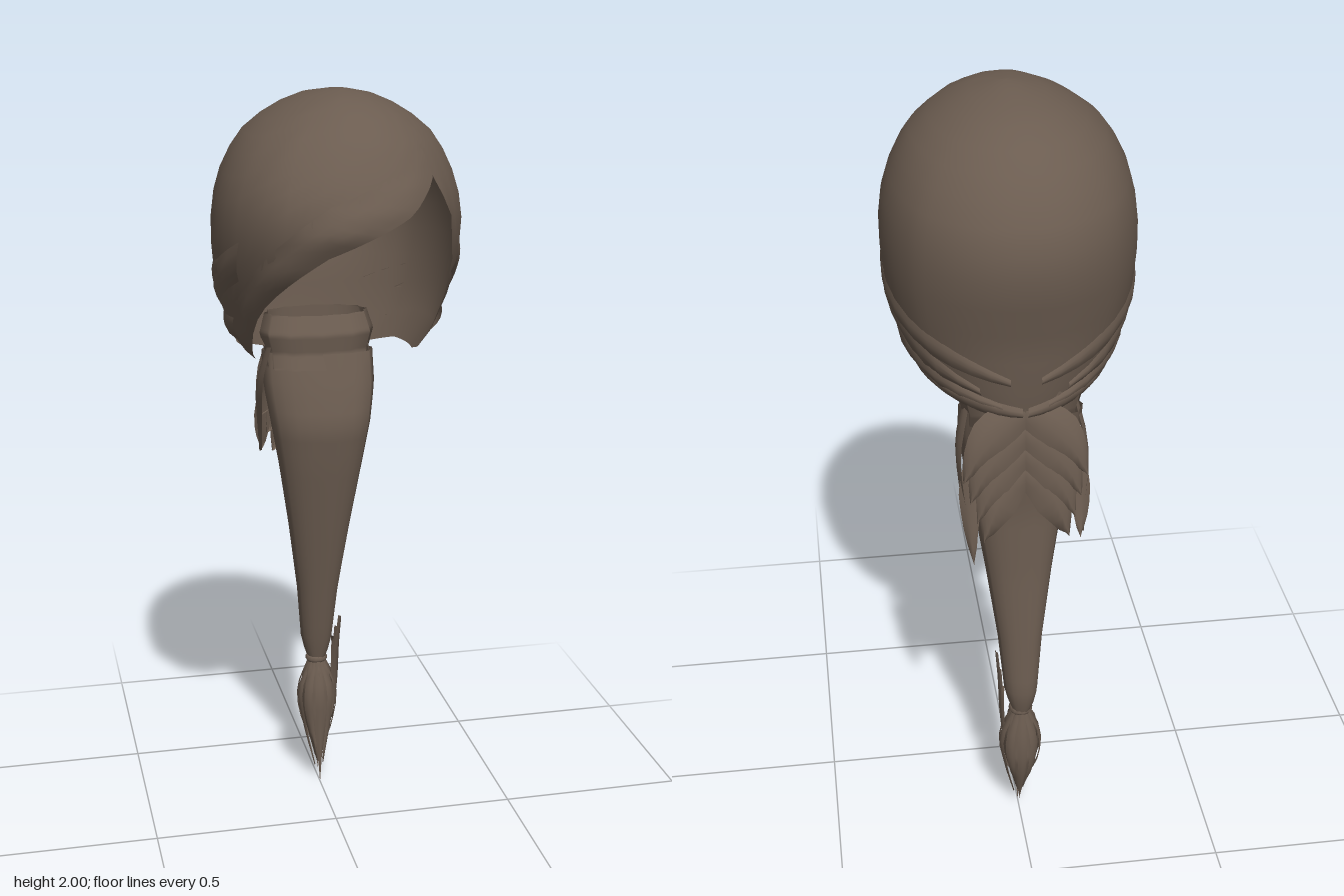
import * as THREE from 'three';
import { mergeVertices } from 'three/addons/utils/BufferGeometryUtils.js';

const hair = new THREE.MeshStandardMaterial({ color: 0x6b5c50, side: THREE.DoubleSide });
hair.name = 'brown hair';

// Linear lookup in rows sorted by their first value; returns the other columns.
function lookup(rows, k) {
  let i = 1;
  while (i < rows.length - 1 && rows[i][0] < k) i++;
  const a = rows[i - 1], b = rows[i];
  const f = THREE.MathUtils.clamp((k - a[0]) / (b[0] - a[0]), 0, 1);
  return a.slice(1).map((v, j) => v + (b[j + 1] - v) * f);
}

// Sine or cosine pushed towards a squarer outline
const square = (v) => Math.sign(v) * Math.pow(Math.abs(v), 0.88);

// Surface from a grid of points: point(u, v) with u, v in 0..1.
function surface(name, nu, nv, point) {
  const pos = [], idx = [];
  for (let j = 0; j <= nv; j++)
    for (let i = 0; i <= nu; i++) pos.push(...point(i / nu, j / nv));
  for (let j = 0; j < nv; j++)
    for (let i = 0; i < nu; i++) {
      const a = j * (nu + 1) + i, b = a + nu + 1;
      idx.push(a, b, a + 1, a + 1, b, b + 1);
    }
  let g = new THREE.BufferGeometry();
  g.setAttribute('position', new THREE.Float32BufferAttribute(pos, 3));
  g.setIndex(idx);
  g = mergeVertices(g, 1e-4);
  g.computeVertexNormals();
  const mesh = new THREE.Mesh(g, hair);
  mesh.name = name;
  return mesh;
}

// Head sections: height, front z, back z, half width
const HEAD = [
  [1.28, 0.05, -0.315, 0.14], [1.35, 0.205, -0.33, 0.22], [1.4, 0.225, -0.335, 0.255],
  [1.5, 0.27, -0.342, 0.29], [1.6, 0.34, -0.37, 0.304], [1.7, 0.378, -0.383, 0.304],
  [1.75, 0.372, -0.375, 0.296], [1.8, 0.352, -0.355, 0.282], [1.86, 0.313, -0.318, 0.254],
  [1.9, 0.28, -0.285, 0.226], [1.95, 0.215, -0.22, 0.165], [1.98, 0.15, -0.14, 0.1],
  [1.992, 0.1, -0.07, 0.06], [2.0, 0.02, 0.02, 0],
];
// Hairline: angle from the front in degrees (+ is the left side), height
const RIM = [
  [-180, 1.29], [-130, 1.3], [-110, 1.33], [-70, 1.34], [-60, 1.385], [-50, 1.47],
  [-40, 1.54], [-30, 1.6], [-18, 1.655], [0, 1.7], [20, 1.745], [32, 1.79], [40, 1.82],
  [50, 1.72], [57, 1.56], [65, 1.4], [71, 1.34], [110, 1.33], [130, 1.3], [180, 1.29],
];
// Uneven fullness of the hair around the head: angle, outward offset
const FULLNESS = [
  [-180, 0], [-135, 0.008], [-95, 0.003], [-60, 0.022], [-40, 0.027], [-18, 0.012],
  [0, 0], [45, -0.006], [80, 0], [130, 0.014], [180, 0],
];

// Point on the head at an angle and height, pushed out by some distance
function onHead(deg, y, out = 0) {
  const [zf, zb, w] = lookup(HEAD, y);
  const p = deg * Math.PI / 180;
  const o = out + lookup(FULLNESS, deg)[0] * THREE.MathUtils.clamp((1.97 - y) / 0.17, 0, 1);
  return [(w + o) * Math.sin(p), y, (zf + zb) / 2 + ((zf - zb) / 2 + o) * Math.cos(p)];
}

// Lofted strand bundle from rows of [y, front z, back z, half width]
function bundle(name, rows, sides, ripple, shear = 0) {
  const lo = rows[0][0], hi = rows[rows.length - 1][0];
  return surface(name, sides, 24, (u, v) => {
    const y = hi + (lo - hi) * v, [zf, zb, w] = lookup(rows, y);
    const a = u * Math.PI * 2, r = 1 - ripple * (Math.round(u * sides) % 2);
    const x = w * r * square(Math.sin(a));
    return [x, y, (zf + zb) / 2 + (zf - zb) / 2 * r * square(Math.cos(a)) + x * shear];
  });
}

// Leaf-shaped lock along a path, raised along its middle
function lock(name, pts, width, across, lift) {
  const curve = new THREE.CatmullRomCurve3(pts.map((p) => new THREE.Vector3(...p)));
  const side = new THREE.Vector3(...across).normalize();
  const up = new THREE.Vector3(...lift);
  return surface(name, 4, 8, (u, v) => {
    const s = u * 2 - 1;
    const w = width * (v < 0.45 ? 0.6 + 0.4 * v / 0.45 : Math.pow((1 - v) / 0.55, 0.7));
    const p = curve.getPoint(v).addScaledVector(side, s * w).addScaledVector(up, 1 - s * s);
    return p.toArray();
  });
}

// Lock lying on the head, from rows of [angle, height, half width]
function headLock(name, rows, out) {
  const keyed = rows.map((r, i) => [i / (rows.length - 1), ...r]);
  return surface(name, 4, 10, (u, v) => {
    const [deg, y, w] = lookup(keyed, v), s = u * 2 - 1;
    return onHead(deg, y + s * w, 0.001 + out * (1 - s * s));
  });
}

export function createModel() {
  const model = new THREE.Group();
  model.name = 'ponytailHair';

  // Cap, open at the face
  model.add(surface('hairCap', 72, 14, (u, v) => {
    const deg = u * 360 - 180, [rim] = lookup(RIM, deg);
    return onHead(deg, rim + (2 - rim) * Math.cos(v * Math.PI / 2));
  }));

  // Swept fringe layer over the brow
  model.add(surface('sweptFringe', 24, 6, (u, v) => {
    const deg = -85 + 125 * u, [rim] = lookup(RIM, deg);
    const thick = 0.007 * Math.sin(Math.PI * u) * Math.sin(Math.PI * Math.min(v + 0.15, 1));
    return onHead(deg, rim - 0.005 + v * (0.15 - 0.06 * u), thick);
  }));

  // Locks on the sides, swept back to the tie
  const sideLocks = new THREE.Group();
  sideLocks.name = 'sideLocks';
  for (const s of [-1, 1]) {
    sideLocks.add(
      headLock('templeLock', [[s * 58, 1.62, 0.05], [s * 85, 1.53, 0.05], [s * 120, 1.44, 0.04], [s * 155, 1.37, 0.01]], 0.006),
      headLock('earLock', [[s * 68, 1.43, 0.03], [s * 92, 1.41, 0.04], [s * 125, 1.37, 0.035], [s * 165, 1.33, 0.01]], 0.01),
      headLock('napeLock', [[s * 95, 1.36, 0.015], [s * 120, 1.35, 0.03], [s * 150, 1.33, 0.03], [s * 178, 1.31, 0.015]], 0.012),
      headLock('upperLock', [[s * 75, 1.58, 0.03], [s * 105, 1.52, 0.035], [s * 140, 1.46, 0.03], [s * 172, 1.4, 0.01]], 0.006),
    );
  }
  model.add(sideLocks);

  // Gathered root under the nape
  model.add(bundle('gatheredRoot', [
    [1.25, -0.155, -0.3, 0.142], [1.29, -0.17, -0.32, 0.142], [1.34, -0.165, -0.325, 0.155], [1.39, -0.19, -0.325, 0.14],
  ], 24, 0.08));

  // Long tapering tail, fuller in front on its left
  model.add(bundle('ponytail', [
    [0.37, -0.245, -0.295, 0.022], [0.43, -0.23, -0.312, 0.042], [0.6, -0.2, -0.297, 0.057],
    [0.8, -0.164, -0.278, 0.084], [0.98, -0.132, -0.268, 0.112], [1.1, -0.115, -0.275, 0.133],
    [1.2, -0.14, -0.295, 0.148], [1.29, -0.17, -0.315, 0.148],
  ], 24, 0.04, 0.12));

  // Overlapping locks hanging behind the tail, in a herringbone
  const backLocks = new THREE.Group();
  backLocks.name = 'backLocks';
  for (let i = 0; i < 4; i++) {
    for (const s of [-1, 1]) {
      const y = 1.33 - i * 0.055, z = -i * 0.004;
      backLocks.add(lock('backLock', [
        [s * -0.02, y, -0.3 + z], [s * 0.05, y - 0.05, -0.322 + z],
        [s * (0.11 - i * 0.01), y - 0.11, -0.335 + z], [s * (0.15 - i * 0.015), y - 0.19, -0.335 + z],
      ], 0.06, [s * 0.7, 0.7, 0.1], [0, 0, -0.015]));
    }
  }
  for (const s of [-1, 1]) {
    backLocks.add(
      lock('looseLock', [[s * 0.09, 1.27, -0.29], [s * 0.125, 1.15, -0.32], [s * 0.135, 1.04, -0.342], [s * 0.13, s > 0 ? 0.92 : 0.98, -0.365]],
        0.032, [1, 0, s * 0.4], [0, 0, -0.01]),
      lock('sideLock', [[s * 0.13, 1.3, -0.24], [s * 0.152, 1.2, -0.265], [s * 0.148, 1.1, -0.3], [s * 0.135, 0.98, -0.345]],
        0.05, [0, 0.2, 1], [s * 0.008, 0, 0]),
    );
  }
  model.add(backLocks);

  // Band near the end of the tail
  const band = new THREE.Mesh(new THREE.TorusGeometry(0.022, 0.01, 6, 14), hair);
  band.name = 'tailBand';
  band.rotation.x = Math.PI / 2;
  band.position.set(0, 0.375, -0.268);
  model.add(band);

  // Brush-like tuft with loose pointed ends
  const tuft = new THREE.Group();
  tuft.name = 'tuft';
  tuft.add(bundle('tuftCore', [
    [0.06, -0.225, -0.25, 0.006], [0.14, -0.222, -0.285, 0.025], [0.21, -0.218, -0.307, 0.042],
    [0.29, -0.22, -0.303, 0.048], [0.34, -0.228, -0.298, 0.04], [0.38, -0.245, -0.29, 0.02],
  ], 16, 0.15));
  for (let i = 0; i < 10; i++) {
    const a = i / 10 * Math.PI * 2, x = Math.sin(a), z = Math.cos(a);
    tuft.add(lock('tuftStrand', [
      [x * 0.02, 0.37, -0.268 + z * 0.025], [x * 0.054, 0.28, -0.262 + z * 0.046],
      [x * 0.042, 0.18, -0.26 + z * 0.042], [x * 0.012, i === 0 ? 0 : 0.03 + (i * 7 % 5) * 0.02, -0.235 + z * 0.014],
    ], 0.014, [z, 0, -x], [x * 0.003, 0, z * 0.003]));
  }
  // Stray strands beside the band
  for (let i = 0; i < 3; i++)
    tuft.add(lock('strayStrand', [
      [0.055 - i * 0.006, 0.52 - i * 0.04, -0.208 - i * 0.022], [0.048, 0.42, -0.215 - i * 0.022],
      [0.045, 0.32, -0.218 - i * 0.022], [0.035, 0.2, -0.225 - i * 0.02],
    ], 0.013, [0.3, 0, 1], [0.004, 0, 0]));
  model.add(tuft);

  return model;
}
